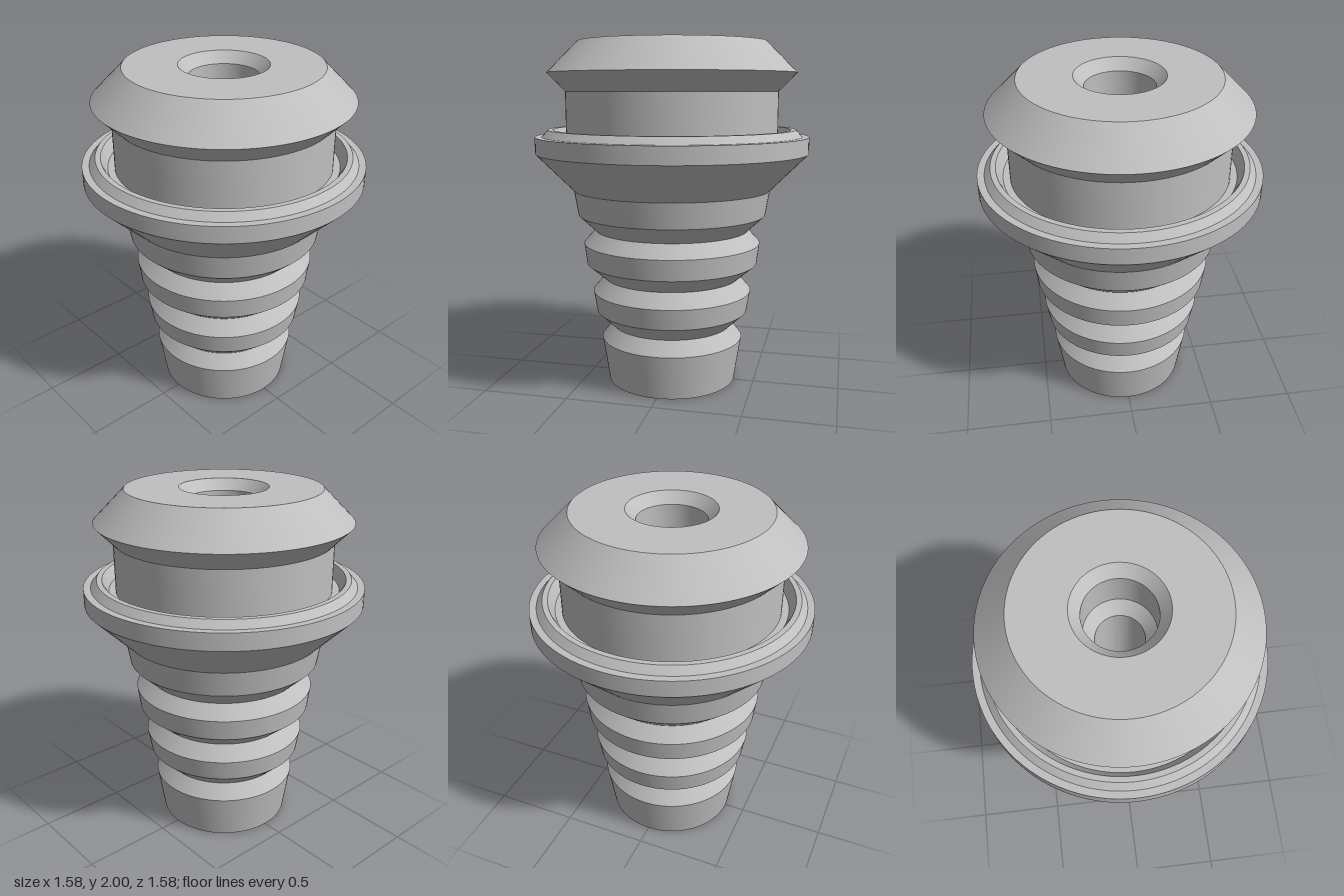
import * as THREE from 'three';
import { toCreasedNormals } from 'three/addons/utils/BufferGeometryUtils.js';

// Each profile lists [radius, height]; neighbouring parts share their end points.
const profiles = {
  barbedTail: [
    [0.38, 0], [0.42, 0.26], [0.355, 0.34],
    [0.45, 0.43], [0.47, 0.55], [0.4, 0.63],
    [0.505, 0.72], [0.52, 0.84], [0.45, 0.915],
    [0.55, 1.01], [0.575, 1.155],
  ],
  flange: [
    [0.575, 1.155], [0.79, 1.37], [0.79, 1.465], [0.75, 1.465],
    [0.715, 1.505], [0.685, 1.505], [0.65, 1.44], [0.612, 1.44],
  ],
  neck: [[0.612, 1.44], [0.612, 1.72]],
  head: [[0.612, 1.72], [0.715, 1.825], [0.54, 2], [0.245, 2]],
  // chamfered through hole, narrower in the middle
  bore: [
    [0.245, 2], [0.19, 1.94], [0.19, 1.72], [0.13, 1.65],
    [0.13, 0.17], [0.19, 0.1], [0.19, 0.06], [0.245, 0],
  ],
  bottomFace: [[0.245, 0], [0.38, 0]],
};

export function createModel() {
  const group = new THREE.Group();
  const grey = new THREE.MeshStandardMaterial({ color: 0xbfbfbf });
  grey.name = 'light grey';

  for (const [name, profile] of Object.entries(profiles)) {
    const points = profile.map(([r, y]) => new THREE.Vector2(r, y));
    const geometry = toCreasedNormals(new THREE.LatheGeometry(points, 96), 0.15);
    const mesh = new THREE.Mesh(geometry, grey);
    mesh.name = name;
    group.add(mesh);
  }
  return group;
}
